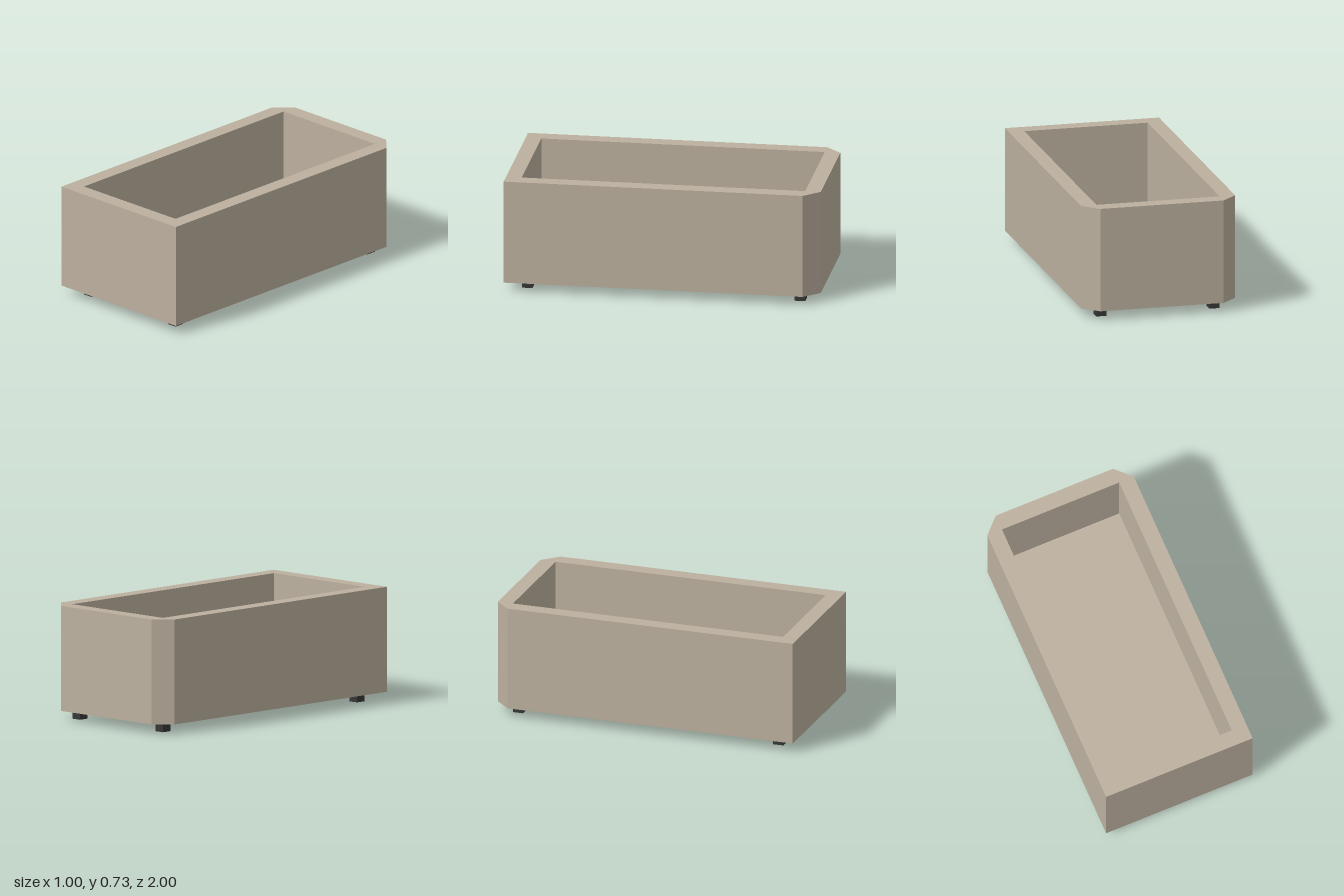
import * as THREE from 'three';

const HALF_W = 0.5, HALF_L = 1, WALL = 0.1, BASE_Y = 0.06, TOP_Y = 0.727;
const FOOT = 0.067;

export function createModel() {
  const stone = new THREE.MeshStandardMaterial({ color: 0xbcb09f });
  stone.name = 'warm stone';
  const rubber = new THREE.MeshStandardMaterial({ color: 0x363636 });
  rubber.name = 'dark rubber';

  const group = new THREE.Group();
  group.name = 'planter';
  const add = (name, geometry, material, x, y, z) => {
    const mesh = new THREE.Mesh(geometry, material);
    mesh.name = name;
    mesh.position.set(x, y, z);
    group.add(mesh);
  };

  // Walls: plan outline with both back corners cut off, and a rectangular opening
  const innerW = HALF_W - WALL, innerL = HALF_L - WALL;
  const points = (list) => list.map(([x, y]) => new THREE.Vector2(x, y));
  const plan = new THREE.Shape(points([
    [-HALF_W, -HALF_L], [HALF_W, -HALF_L], [HALF_W, innerL],
    [innerW, HALF_L], [-innerW, HALF_L], [-HALF_W, innerL],
  ]));
  plan.holes.push(new THREE.Path(points([
    [-innerW, -innerL], [-innerW, innerL], [innerW, innerL], [innerW, -innerL],
  ])));
  const walls = new THREE.ExtrudeGeometry(plan, { depth: TOP_Y - BASE_Y, bevelEnabled: false });
  walls.rotateX(-Math.PI / 2);
  add('walls', walls, stone, 0, BASE_Y, 0);

  // Floor slab closing the bottom of the opening
  add('floor', new THREE.BoxGeometry(innerW * 2, WALL, innerL * 2), stone, 0, BASE_Y + WALL / 2, 0);

  // Four small square feet
  const foot = new THREE.BoxGeometry(FOOT, BASE_Y, FOOT);
  for (const [side, sx] of [['left', 1], ['right', -1]]) {
    for (const [end, sz] of [['front', 1], ['back', -1]]) {
      add(`${end} ${side} foot`, foot, rubber,
        sx * (innerW - FOOT / 2), BASE_Y / 2, sz * (innerL - FOOT / 2));
    }
  }
  return group;
}
